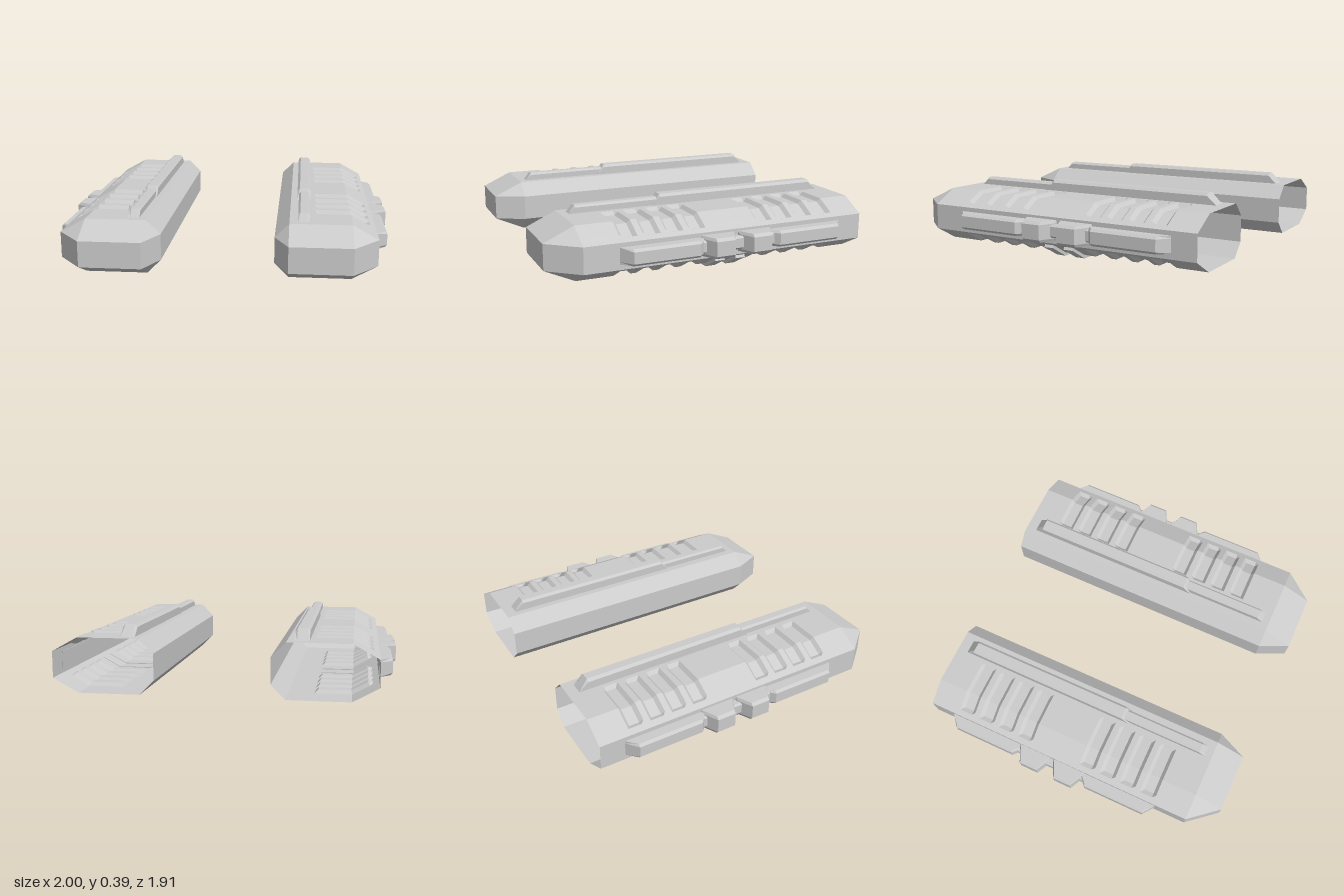
import * as THREE from 'three';

const material = new THREE.MeshStandardMaterial({ color: 0xcccccc, flatShading: true, side: THREE.DoubleSide });

// Skin a list of rings (counter-clockwise seen from +z, ordered by rising z)
function loft(rings, capBack, capFront) {
  const pos = [];
  const tri = (a, b, c) => {
    const n = b.clone().sub(a).cross(c.clone().sub(a));
    if (n.length() > 1e-8) for (const p of [a, b, c]) pos.push(p.x, p.y, p.z);
  };
  const n = rings[0].length;
  for (let i = 0; i < rings.length - 1; i++) {
    for (let j = 0; j < n; j++) {
      const k = (j + 1) % n;
      const a = rings[i][j], b = rings[i][k], c = rings[i + 1][k], d = rings[i + 1][j];
      tri(a, b, c);
      tri(a, c, d);
    }
  }
  const first = rings[0], last = rings[rings.length - 1];
  for (let j = 1; j < n - 1; j++) {
    if (capBack) tri(first[0], first[j + 1], first[j]);
    if (capFront) tri(last[0], last[j], last[j + 1]);
  }
  const g = new THREE.BufferGeometry();
  g.setAttribute('position', new THREE.Float32BufferAttribute(pos, 3));
  g.computeVertexNormals();
  return g;
}

function add(group, name, geometry) {
  const mesh = new THREE.Mesh(geometry, material);
  mesh.name = name;
  group.add(mesh);
}

// Hull cross-section; d is the depth of the vent recess at this station
function hullRing(z, d) {
  const upper = [
    [0.895, 0.25], [0.862, 0.268],
    [0.845 - 0.483 * d, 0.2776 - 0.876 * d],
    [0.75 - 0.257 * d, 0.33 - d],
    [0.565, 0.33 - d], [0.545, 0.33], [0.40, 0.33], [0.32, 0.25],
  ];
  const lower = upper.map(([x, y]) => [x, 0.35 - y]).reverse();
  return [...upper, ...lower].map(([x, y]) => new THREE.Vector3(x, y, z));
}

// Bar with chamfered outer edges; stations are [z, height above the hull]
function bar(stations, w, c, place) {
  return loft(stations.map(([z, h]) => {
    const s = Math.max(0, h - c);
    return [[-w, 0], [w, 0], [w, s], [w - c, h], [c - w, h], [-w, s]]
      .map(([u, v]) => new THREE.Vector3(...place(u, v), z));
  }), true, true);
}

function createPod() {
  const pod = new THREE.Group();

  // Hollow hull, open at the back, with two banks of vents above and below
  const rings = [hullRing(-0.955, 0)];
  for (const start of [-0.77, 0.06]) {
    for (let i = 0; i < 4; i++) {
      const z = start + i * 0.135, depth = 0.02;
      rings.push(hullRing(z, 0), hullRing(z + 0.02, depth), hullRing(z + 0.08, depth), hullRing(z + 0.1, 0));
    }
  }
  rings.push(hullRing(0.78, 0));
  // The nose tapers to a rectangle
  rings.push(hullRing(0.955, 0).map((p) => new THREE.Vector3(
    THREE.MathUtils.clamp(p.x, 0.40, 0.75), THREE.MathUtils.clamp(p.y, 0.10, 0.25), p.z)));
  add(pod, 'hull', loft(rings, false, true));

  // Rails along the top
  const onTop = (u, v) => [0.48 + u, 0.33 + v];
  add(pod, 'rearTopRail', bar([[-0.89, 0], [-0.835, 0.063], [0.185, 0.063], [0.235, 0]], 0.041, 0.015, onTop));
  add(pod, 'frontTopRail', bar([[0.18, 0.045], [0.70, 0.045], [0.735, 0]], 0.032, 0.012, onTop));

  // Rails, clamps and connecting bar along the outer side
  const onSide = (u, v) => [0.893 + v, 0.178 - u];
  add(pod, 'rearSideRail', bar([[-0.81, 0], [-0.755, 0.072], [-0.365, 0.072], [-0.325, 0.03]], 0.047, 0.014, onSide));
  add(pod, 'frontSideRail', bar([[0.095, 0.03], [0.135, 0.072], [0.525, 0.072], [0.58, 0]], 0.047, 0.014, onSide));
  add(pod, 'sideConnector', bar([[-0.35, 0.045], [0.13, 0.045]], 0.037, 0.01, onSide));
  for (const z of [-0.23, 0]) {
    add(pod, 'sideClamp', bar(
      [[z - 0.105, 0], [z - 0.1, 0.02], [z - 0.057, 0.107], [z + 0.057, 0.107], [z + 0.1, 0.02], [z + 0.105, 0]],
      0.058, 0.016, onSide));
  }

  // Straps folded around the lower outer corner
  const strap = new THREE.Shape([
    [0.55, 0.025], [0.55, 0.0], [0.75, 0.0], [0.872, 0.068], [0.862, 0.085], [0.75, 0.025],
  ].map(([x, y]) => new THREE.Vector2(x, y)));
  for (const z of [-0.19, -0.06]) {
    const g = new THREE.ExtrudeGeometry(strap, { depth: 0.06, bevelEnabled: false });
    add(pod, 'lowerStrap', g.translate(0, 0, z));
  }
  return pod;
}

export function createModel() {
  const model = new THREE.Group();
  model.name = 'twinPods';
  const left = createPod();
  left.name = 'leftPod';
  const right = createPod();
  right.name = 'rightPod';
  right.scale.x = -1;
  model.add(left, right);
  return model;
}
